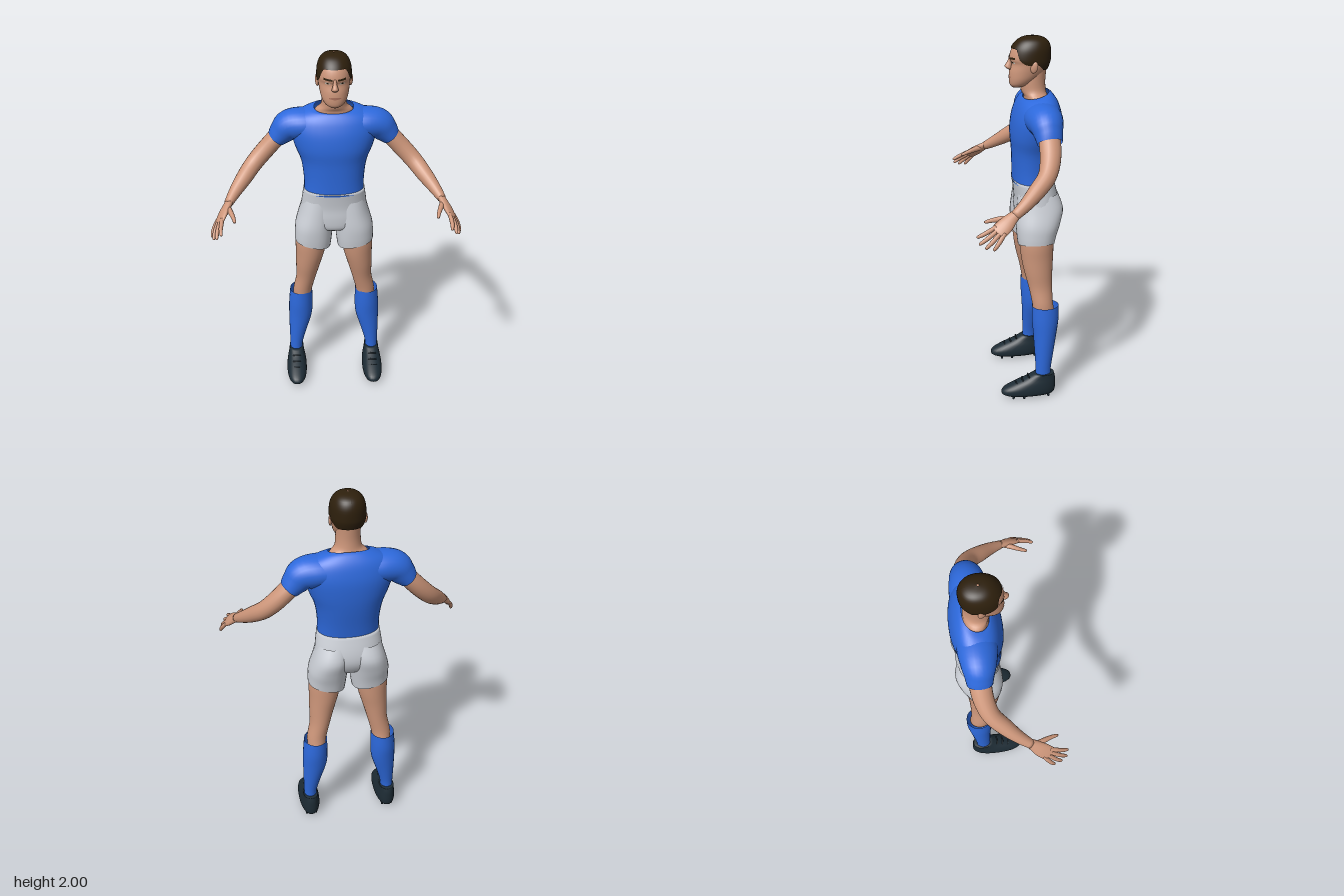
import * as THREE from 'three';

const mat = (name, color, side = THREE.FrontSide) => {
  const m = new THREE.MeshStandardMaterial({ color, side });
  m.name = name;
  return m;
};

// Smooth interpolation through table rows at fractional index u
function sample(rows, u) {
  const n = rows.length - 1, i = Math.min(Math.floor(u), n - 1), t = u - i;
  const [a, b, c, d] = [rows[Math.max(i - 1, 0)], rows[i], rows[i + 1], rows[Math.min(i + 2, n)]];
  return b.map((p, k) => p + 0.5 * t * (c[k] - a[k] +
    t * (2 * a[k] - 5 * p + 4 * c[k] - d[k] + t * (3 * (p - c[k]) + d[k] - a[k]))));
}

// Grid surface: fn(i, j) gives a point; closed joins the last column to the first
function grid(rowsN, cols, fn, closed = true, caps = false) {
  const pos = [], idx = [], w = closed ? cols : cols + 1;
  for (let i = 0; i <= rowsN; i++)
    for (let j = 0; j < w; j++) pos.push(...fn(i / rowsN, j / cols));
  for (let i = 0; i < rowsN; i++)
    for (let j = 0; j < cols; j++) {
      const k = (j + 1) % w, a = i * w + j, b = i * w + k, c = b + w, d = a + w;
      idx.push(a, b, c, a, c, d);
    }
  if (caps) for (const end of [0, rowsN]) {
    const mid = [0, 0, 0], centre = pos.length / 3;
    for (let j = 0; j < w; j++) for (let k = 0; k < 3; k++) mid[k] += pos[(end * w + j) * 3 + k] / w;
    pos.push(...mid);
    for (let j = 0; j < w; j++) {
      const a = end * w + j, b = end * w + (j + 1) % w;
      idx.push(centre, end ? a : b, end ? b : a);
    }
  }
  const g = new THREE.BufferGeometry();
  g.setAttribute('position', new THREE.Float32BufferAttribute(pos, 3));
  g.setIndex(idx);
  g.computeVertexNormals();
  return g;
}

// Horizontal ring point; row = [x, y, zFront, zBack, halfWidth, tiltX, tiltZ]
const spow = (v, e) => Math.sign(v) * Math.abs(v) ** e;
function ringPoint([x, y, zf, zb, rx, tx = 0, tz = 0], angle, e = 1) {
  const dx = rx * spow(Math.sin(angle), e), dz = (zf - zb) / 2 * spow(Math.cos(angle), e);
  return [x + dx, y + tx * dx + tz * dz, (zf + zb) / 2 + dz];
}
const loft = (rows, { sides = 32, e = 1, caps = true } = {}) =>
  grid((rows.length - 1) * 4, sides,
    (v, w) => ringPoint(sample(rows, v * (rows.length - 1)), w * Math.PI * 2, e), true, caps);

// Limb along a path; row = [x, y, z, radius along ref, radius across]
function limb(rows, ref = [0, 0, 1], sides = 20, caps = true) {
  const n = rows.length - 1, at = u => new THREE.Vector3(...sample(rows, u).slice(0, 3));
  return grid(n * 4, sides, (v, w) => {
    const u = v * n, s = sample(rows, u), a = w * Math.PI * 2;
    const T = at(Math.min(u + 0.02, n)).sub(at(Math.max(u - 0.02, 0))).normalize();
    const N = new THREE.Vector3(...ref);
    N.addScaledVector(T, -N.dot(T)).normalize();
    const B = T.clone().cross(N);
    return at(u).addScaledVector(N, s[3] * Math.cos(a)).addScaledVector(B, s[4] * Math.sin(a)).toArray();
  }, true, caps);
}

function mirrored(g) {
  const m = g.clone().scale(-1, 1, 1), ix = m.index.array;
  for (let i = 0; i < ix.length; i += 3) [ix[i], ix[i + 1]] = [ix[i + 1], ix[i]];
  m.computeVertexNormals();
  return m;
}

export function createModel() {
  const root = new THREE.Group();
  root.name = 'footballer';
  const skin = mat('skin', 0xcd967a), blue = mat('kitBlue', 0x2d69dc, THREE.DoubleSide);
  const grey = mat('shortsGrey', 0xcdd1d8, THREE.DoubleSide), hairMat = mat('hairBrown', 0x2e200d, THREE.DoubleSide);
  const boot = mat('bootDark', 0x1e2c35), lip = mat('lips', 0xa9705c), white = mat('eyeWhite', 0xd8d2c8);
  const add = (name, g, m) => {
    const mesh = new THREE.Mesh(g, m);
    mesh.name = name;
    root.add(mesh);
  };
  const pair = (name, g, m) => {
    add(name + 'Left', g, m);
    add(name + 'Right', mirrored(g), m);
  };

  // Shirt body and sleeves
  add('shirt', loft([
    [0, 1.22, 0, -0.22, 0.164, 0, 0], [0, 1.3, 0, -0.232, 0.164, 0, 0], [0, 1.4, 0.003, -0.25, 0.178, 0, 0],
    [0, 1.48, 0.01, -0.26, 0.208, 0, 0], [0, 1.56, 0.002, -0.262, 0.23, 0, 0], [0, 1.62, -0.016, -0.252, 0.228, 0, 0],
    [0, 1.66, -0.034, -0.236, 0.2, 0, -0.05], [0, 1.687, -0.05, -0.212, 0.145, 0, -0.15],
    [0, 1.696, -0.058, -0.192, 0.105, 0, -0.25],
  ], { sides: 40, e: 0.9, caps: false }), blue);
  pair('sleeve', limb([[0.1, 1.6, -0.138, 0.1, 0.08], [0.17, 1.6, -0.138, 0.1, 0.083], [0.235, 1.588, -0.141, 0.088, 0.083],
    [0.275, 1.552, -0.144, 0.074, 0.07], [0.307, 1.515, -0.146, 0.065, 0.053]], [0, 0, 1], 28, false), blue);

  // Shorts
  add('shortsWaist', loft([[0, 0.985, -0.05, -0.18, 0.08], [0, 1.01, -0.02, -0.215, 0.15], [0, 1.07, -0.012, -0.245, 0.185],
    [0, 1.14, -0.012, -0.245, 0.18], [0, 1.235, 0.001, -0.222, 0.167]], { sides: 40, e: 0.9 }), grey);
  pair('shortsLeg', loft([[0.12, 0.892, -0.016, -0.214, 0.1, 0.22], [0.116, 0.94, -0.01, -0.225, 0.104, 0.12],
    [0.11, 1.01, -0.006, -0.246, 0.105, 0], [0.095, 1.09, -0.012, -0.262, 0.097, 0], [0.08, 1.17, -0.02, -0.235, 0.088, 0]],
  { e: 0.9, caps: false }), grey);

  // Legs, socks and boots
  pair('leg', loft([[0.186, 0.5, -0.09, -0.21, 0.05], [0.181, 0.56, -0.085, -0.2, 0.054], [0.161, 0.65, -0.068, -0.198, 0.057],
    [0.148, 0.74, -0.045, -0.2, 0.069], [0.136, 0.82, -0.03, -0.205, 0.08], [0.129, 0.9, -0.022, -0.208, 0.088],
    [0.118, 1.0, -0.02, -0.21, 0.088]]), skin);
  pair('sock', loft([[0.226, 0.11, -0.1, -0.185, 0.036], [0.225, 0.17, -0.1, -0.186, 0.037], [0.214, 0.26, -0.096, -0.2, 0.05],
    [0.198, 0.37, -0.09, -0.218, 0.067], [0.194, 0.46, -0.083, -0.23, 0.069], [0.191, 0.548, -0.082, -0.23, 0.064]],
  { sides: 24, caps: false }), blue);
  pair('boot', loft([[0.226, 0.016, 0.075, -0.2, 0.047], [0.226, 0.03, 0.094, -0.208, 0.056], [0.226, 0.055, 0.085, -0.212, 0.058],
    [0.226, 0.085, 0.03, -0.212, 0.053], [0.226, 0.115, -0.04, -0.21, 0.045], [0.226, 0.143, -0.092, -0.203, 0.041]],
  { e: 0.85 }), boot);
  for (const [dx, z] of [[-0.03, 0.03], [0.03, 0.03], [-0.035, -0.03], [0.035, -0.03], [-0.027, -0.17], [0.027, -0.17]])
    pair('stud', new THREE.CylinderGeometry(0.009, 0.006, 0.022, 8).translate(0.226 + dx, 0.011, z), boot);
  for (let i = 0; i < 3; i++)
    pair('lace', limb([[0.202, 0.125 - i * 0.019, -0.06 + i * 0.034, 0.004, 0.004],
      [0.226, 0.13 - i * 0.019, -0.055 + i * 0.034, 0.004, 0.004],
      [0.25, 0.125 - i * 0.019, -0.06 + i * 0.034, 0.004, 0.004]], [0, 1, 0], 6), boot);

  // Arms and hands
  pair('arm', limb([[0.22, 1.6, -0.145, 0.05, 0.05], [0.3, 1.523, -0.146, 0.056, 0.049], [0.37, 1.448, -0.137, 0.053, 0.049],
    [0.433, 1.382, -0.108, 0.047, 0.047], [0.485, 1.327, -0.048, 0.043, 0.043], [0.53, 1.28, 0.012, 0.034, 0.034],
    [0.568, 1.238, 0.075, 0.025, 0.023]]), skin);
  const across = new THREE.Vector3(-0.52, 0.475, 0.71), knuckles = new THREE.Vector3(0.612, 1.178, 0.16);
  pair('palm', limb([[0.56, 1.247, 0.06, 0.024, 0.02], [0.576, 1.228, 0.092, 0.032, 0.019],
    [0.595, 1.203, 0.125, 0.041, 0.018], [0.612, 1.178, 0.16, 0.041, 0.013], [0.616, 1.172, 0.168, 0.034, 0.008]],
  across.toArray()), skin);
  const tips = [[0.6, 1.15, 0.265], [0.626, 1.123, 0.257], [0.644, 1.106, 0.228], [0.655, 1.1, 0.19]];
  tips.forEach((tip, i) => {
    const base = knuckles.clone().addScaledVector(across, 0.03 - i * 0.02).toArray();
    const at = (t, lift, r) => [...base.map((b, k) => b + (tip[k] - b) * t + (k ? 0 : lift)), r, r];
    pair('finger', limb([at(-0.15, 0, 0.01), at(0.25, 0.004, 0.0115), at(0.6, 0.005, 0.0105), at(0.92, 0.001, 0.008),
      at(1, 0, 0.003)], across.toArray(), 10), skin);
  });
  pair('thumb', limb([[0.572, 1.228, 0.09, 0.015, 0.015], [0.556, 1.222, 0.135, 0.016, 0.014], [0.54, 1.212, 0.178, 0.012, 0.011],
    [0.531, 1.201, 0.213, 0.008, 0.008], [0.53, 1.198, 0.218, 0.003, 0.003]], [0, 1, 0], 10), skin);

  // Neck and head
  add('neck', loft([[0, 1.64, -0.06, -0.19, 0.11], [0, 1.685, -0.063, -0.187, 0.1], [0, 1.715, -0.048, -0.178, 0.07],
    [0, 1.77, -0.04, -0.175, 0.063], [0, 1.84, -0.05, -0.182, 0.062]]), skin);
  const head = [[0, 1.735, 0, -0.05, 0.022], [0, 1.75, 0.012, -0.09, 0.05], [0, 1.78, 0.016, -0.13, 0.068],
    [0, 1.82, 0.014, -0.172, 0.078], [0, 1.86, 0.005, -0.192, 0.084], [0, 1.888, 0.014, -0.197, 0.086],
    [0, 1.935, 0.001, -0.197, 0.082], [0, 1.97, -0.027, -0.182, 0.066], [0, 1.988, -0.06, -0.15, 0.04], [0, 1.994, -0.1, -0.11, 0.004]];
  add('head', loft(head, { e: 0.95 }), skin);

  // Thin patch lying on the head between two heights and two angles
  const core = new THREE.Vector3(0, 1.87, -0.1);
  const patch = (low, high, a0, a1, lift, cols = 10, rows = 4) => grid(rows, cols, (v, w) => {
    const a = a0 + (a1 - a0) * w, u = low(a) + (high(a) - low(a)) * v;
    const p = new THREE.Vector3(...ringPoint(sample(head, u), a, 0.95));
    return p.addScaledVector(p.clone().sub(core).normalize(), lift).toArray();
  }, false);
  const hairline = a => 6.05 - 1.95 * THREE.MathUtils.smoothstep(Math.abs(a), 0.6, 1.35)
    - 0.8 * THREE.MathUtils.smoothstep(Math.abs(a), 1.75, 2.4);
  add('hair', patch(hairline, () => 9, -Math.PI, Math.PI, 0.006, 64, 20), hairMat);
  pair('eyebrow', patch(a => 4.85 + a * 0.2, a => 5.1 + a * 0.2, 0.14, 0.68, 0.003), hairMat);
  pair('eye', patch(a => 4.22 - 0.1 * Math.sin((a - 0.25) * 8), a => 4.32 + 0.25 * Math.sin((a - 0.25) * 8), 0.25, 0.6, 0.002), white);
  pair('iris', patch(() => 4.2, () => 4.55, 0.36, 0.49, 0.0035, 4), hairMat);
  add('mouth', patch(a => 2.15 + 0.4 * Math.abs(a), a => 2.5 - 0.2 * Math.abs(a), -0.42, 0.42, 0.002), lip);
  add('nose', loft([[0, 1.828, 0.018, 0, 0.01], [0, 1.838, 0.034, 0, 0.018], [0, 1.848, 0.039, 0, 0.016],
    [0, 1.868, 0.026, 0, 0.01], [0, 1.892, 0.016, 0, 0.007]], { sides: 16 }), skin);
  pair('ear', new THREE.SphereGeometry(1, 14, 10).scale(0.009, 0.031, 0.019).rotateX(-0.2).rotateY(-0.3)
    .translate(0.088, 1.852, -0.102), skin);
  return root;
}
